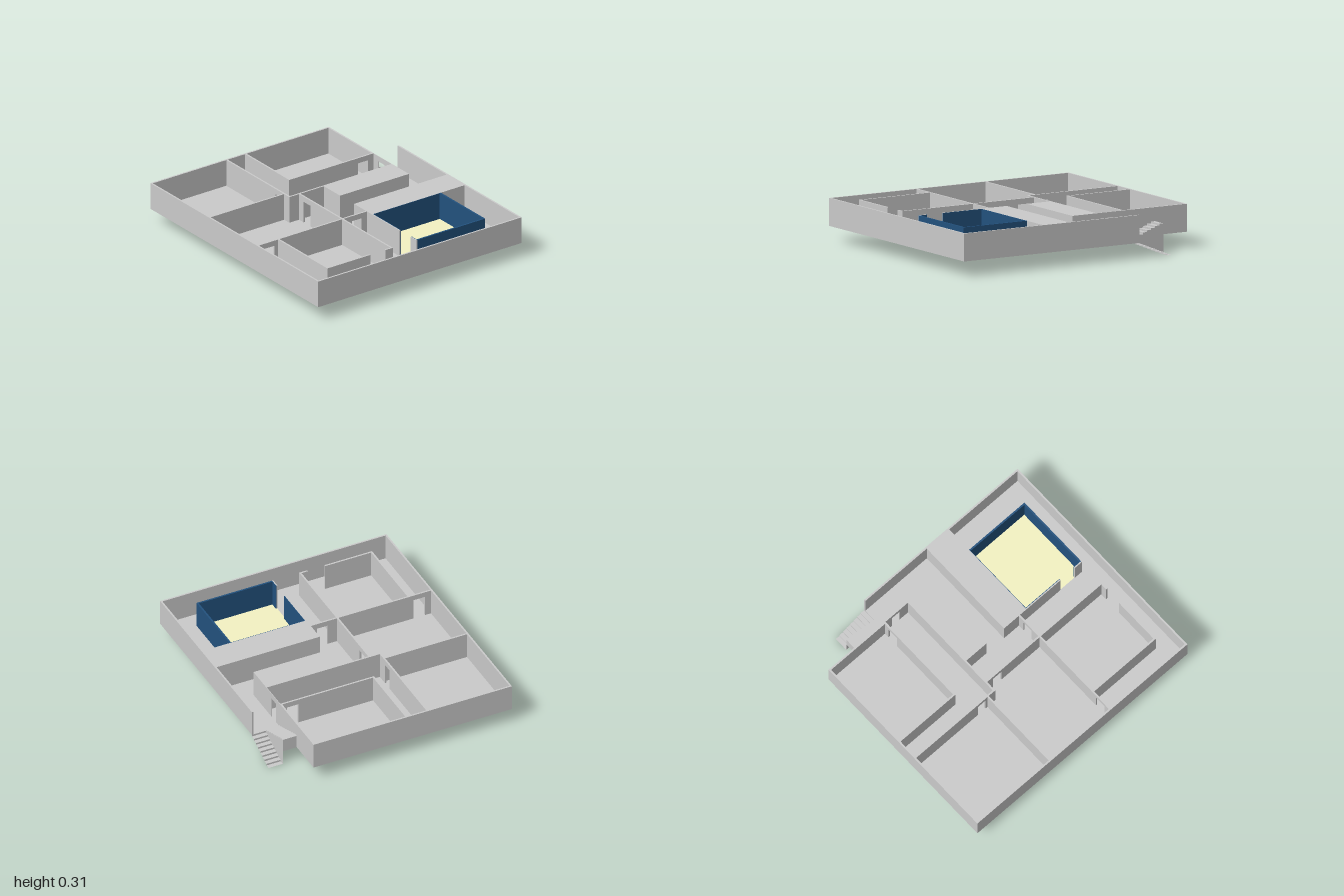
import * as THREE from 'three';

const FLOOR = 0.11, TOP = 0.31, DOOR = 0.27, T = 0.013;
const grey = new THREE.MeshStandardMaterial({ color: 0xcccccc });
const thin = new THREE.MeshStandardMaterial({ color: 0xcccccc, side: THREE.DoubleSide });
const blue = new THREE.MeshStandardMaterial({ color: 0x23527e });
const cream = new THREE.MeshStandardMaterial({ color: 0xf5f3c3, side: THREE.DoubleSide });

// Box given by its limits on each axis
function block(name, x0, x1, y0, y1, z0, z1, material = grey) {
  const mesh = new THREE.Mesh(new THREE.BoxGeometry(x1 - x0, y1 - y0, z1 - z0), material);
  mesh.position.set((x0 + x1) / 2, (y0 + y1) / 2, (z0 + z1) / 2);
  mesh.name = name;
  return mesh;
}

// Wall along x or z from a to b, starting at c across; doors are [from, to] pairs under lintels
function wall(name, axis, a, b, c, doors = [], material = grey, t = T) {
  const group = new THREE.Group();
  group.name = name;
  const piece = (label, p, q, y0) => group.add(axis === 'x'
    ? block(label, p, q, y0, TOP, c, c + t, material)
    : block(label, c, c + t, y0, TOP, p, q, material));
  let start = a;
  for (const [from, to] of doors) {
    piece('wallPanel', start, from, FLOOR);
    piece('doorLintel', from, to, DOOR);
    start = to;
  }
  piece('wallPanel', start, b, FLOOR);
  return group;
}

function polygon(points) {
  return new THREE.Shape(points.map(([x, y]) => new THREE.Vector2(x, y)));
}

// Stepped line from the landing edge towards -x, each step changing height by rise
function stepLine(x, y, run, rise, count) {
  const points = [[x, y]];
  for (let i = 1; i <= count; i++) {
    points.push([x - (i - 1) * run, y + i * rise], [x - i * run, y + i * rise]);
  }
  return points;
}

function makeStairs() {
  const stairs = new THREE.Group();
  stairs.name = 'stairs';
  const x0 = -0.462, x1 = -0.732, zMid = -0.78, zBack = -0.89, count = 8;
  const run = (x0 - x1) / count;

  // Thin folded flight going down, open along the outside
  const down = stepLine(x0, FLOOR, run, -FLOOR / count, count);
  for (let i = 0; i + 1 < down.length; i++) {
    const [ax, ay] = down[i], [bx, by] = down[i + 1];
    const isRiser = ax === bx;
    const geometry = new THREE.PlaneGeometry(isRiser ? zMid - zBack : ax - bx, isRiser ? ay - by : zMid - zBack);
    if (isRiser) geometry.rotateY(-Math.PI / 2);
    else geometry.rotateX(-Math.PI / 2);
    const mesh = new THREE.Mesh(geometry, thin);
    mesh.position.set((ax + bx) / 2, (ay + by) / 2, (zMid + zBack) / 2);
    mesh.name = isRiser ? 'riser' : 'tread';
    stairs.add(mesh);
  }
  const side = new THREE.Mesh(new THREE.ShapeGeometry(polygon([...down, [x1, FLOOR]])), thin);
  side.position.z = zMid;
  side.name = 'stairSidePanel';
  stairs.add(side);

  // Solid flight going up
  const up = stepLine(x0, FLOOR, run, 0.1 / count, count);
  const solid = new THREE.Mesh(new THREE.ExtrudeGeometry(polygon([...up, [x1, FLOOR]]),
    { depth: 0.112, bevelEnabled: false }), grey);
  solid.position.z = zMid;
  solid.name = 'upperFlight';
  stairs.add(solid);
  return stairs;
}

export function createModel() {
  const model = new THREE.Group();
  model.name = 'storeyPlan';

  // Floor with a corner left out for the stairs and a cut for the coloured room
  const outline = polygon([[-1, -0.89], [1, -0.89], [1, 0.89], [-0.462, 0.89], [-0.462, 0.67], [-1, 0.67]]);
  outline.holes.push(polygon([[0.34, 0.07], [0.34, 0.665], [0.86, 0.665], [0.86, 0.07]]));
  const floor = new THREE.Mesh(new THREE.ShapeGeometry(outline).rotateX(-Math.PI / 2), thin);
  floor.position.y = FLOOR;
  floor.name = 'floor';
  const roomFloor = new THREE.Mesh(new THREE.PlaneGeometry(0.52, 0.595).rotateX(-Math.PI / 2), cream);
  roomFloor.position.set(0.6, FLOOR, -0.3675);
  roomFloor.name = 'colouredRoomFloor';
  model.add(floor, roomFloor);

  // Outer walls
  model.add(
    wall('rightOuterWall', 'z', -0.67, 0.89, -1),
    wall('leftOuterWall', 'z', -0.89, 0.89, 1 - T),
    wall('frontOuterWall', 'x', -1 + T, 1 - T, 0.89 - T),
    wall('backOuterWall', 'x', -0.462, 1 - T, -0.89),
  );

  // Back corner room, landing and corridor
  model.add(
    wall('cornerRoomBackWall', 'x', -1 + T, -0.462, -0.67),
    wall('cornerRoomSideWall', 'z', -0.67 + T, 0.07, -0.475, [[-0.62, -0.53]]),
    wall('cornerRoomFrontWall', 'x', -1 + T, -0.475, 0.057),
    wall('landingWall', 'x', -0.462, -0.247, -0.67, [[-0.4, -0.33]], grey, 0.004),
    wall('corridorFrontWall', 'x', -1 + T, -0.235, 0.222, [[-0.4, -0.33]]),
    wall('corridorSideWall', 'z', -0.07, 0.222, -0.248),
  );

  // Closed full-height cores
  model.add(
    block('smallCore', -0.248, -0.043, FLOOR, TOP, -0.67, -0.067),
    block('longCore', 0.123, 0.338, FLOOR, TOP, -0.89 + T, -0.067),
  );

  // Front rooms
  model.add(
    wall('frontRoomDivider', 'z', 0.235, 0.89 - T, -0.31),
    wall('hallFrontWall', 'x', -0.235, 0.865, 0.137, [[-0.18, -0.1]]),
    wall('hallSideWall', 'z', -0.067, 0.137, 0.264, [[-0.02, 0.065]]),
    wall('middleRoomSideWall', 'z', 0.15, 0.89 - T, 0.264, [[0.74, 0.83]]),
    wall('sideRoomFrontWall', 'x', 0.277, 0.865, 0.697),
    wall('sideRoomShortWall', 'z', 0.15, 0.2, 0.852),
    wall('sideRoomLongWall', 'z', 0.335, 0.697, 0.852),
  );

  // Coloured room: blue walls, with grey outer skins on the front
  model.add(
    wall('colouredRoomBackWall', 'x', 0.338, 0.865, -0.67, [], blue),
    wall('colouredRoomOuterWall', 'z', -0.67 + T, -0.08, 0.852, [], blue),
    wall('colouredRoomCoreLining', 'z', -0.67 + T, -0.08, 0.338, [], blue, 0.003),
  );
  for (const [a, b] of [[0.338, 0.663], [0.797, 0.865]]) {
    model.add(
      wall('colouredRoomFrontLining', 'x', a, b, -0.08, [], blue, 0.004),
      wall('colouredRoomFrontWall', 'x', a, b, -0.076, [], grey, 0.009),
    );
  }

  model.add(makeStairs());
  return model;
}
